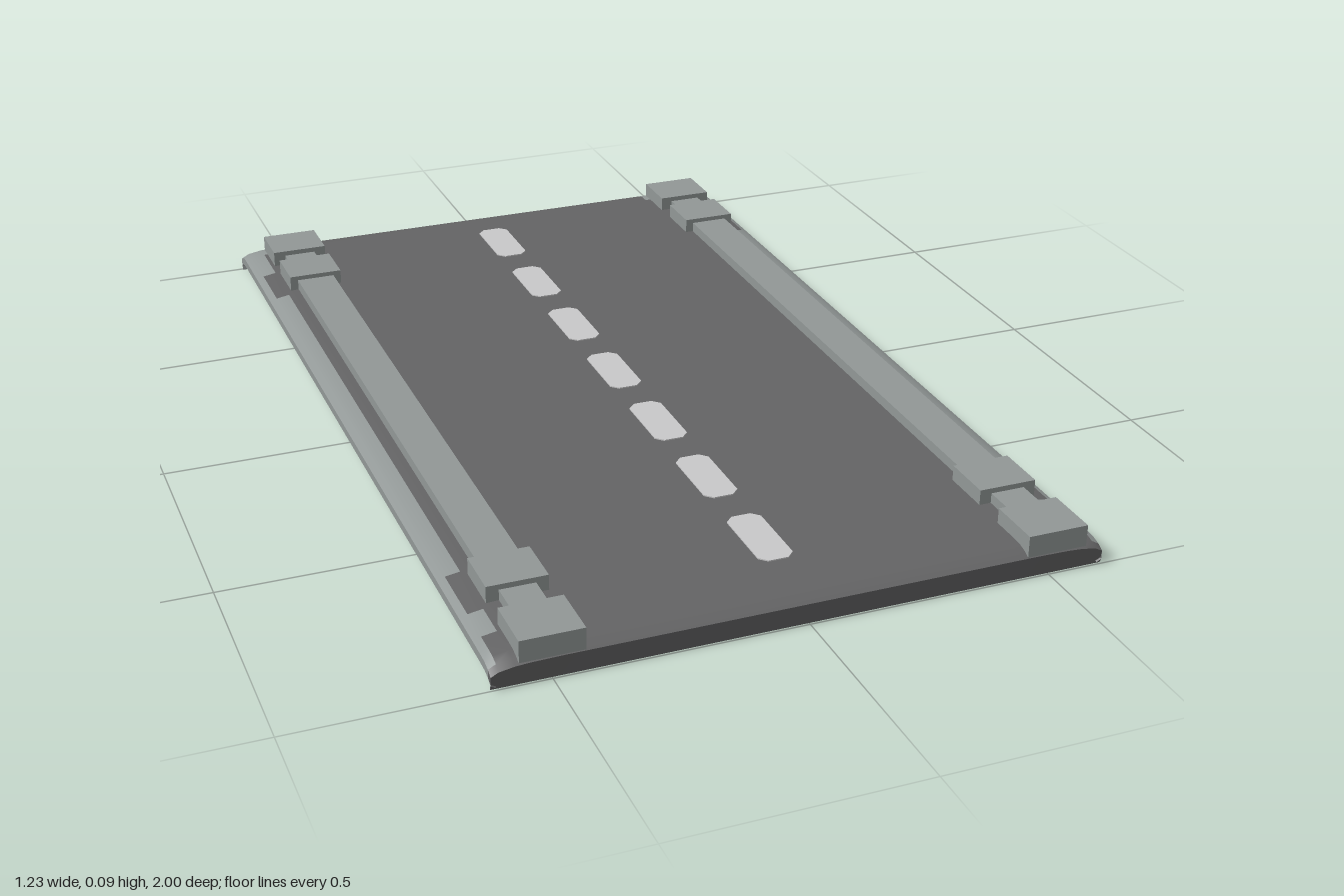
import * as THREE from 'three';
import { toCreasedNormals } from 'three/addons/utils/BufferGeometryUtils.js';

const material = (name, color) =>
  new THREE.MeshStandardMaterial({ name, color, side: THREE.DoubleSide });

export function createModel() {
  const asphalt = material('asphalt', 0x646465);
  const concrete = material('concrete', 0x929897);
  const paint = material('lanePaint', 0xc9c9ca);
  const root = new THREE.Group();
  root.name = 'roadSegment';

  const add = (name, geometry, mat, parent = root) => {
    const mesh = new THREE.Mesh(geometry, mat);
    mesh.name = name;
    parent.add(mesh);
    return mesh;
  };
  const box = (name, parent, x, y0, y1, w, z0, z1) => {
    const m = add(name, new THREE.BoxGeometry(w, y1 - y0, z1 - z0), concrete, parent);
    m.position.set(x, (y0 + y1) / 2, (z0 + z1) / 2);
  };

  // Half cross-section of the road sheet [x, y], mirrored to the full width
  const half = [[0.605, 0.018], [0.615, 0.024], [0.615, 0.042], [0.6, 0.05],
    [0.57, 0.055], [0.54, 0.057], [0.475, 0.058], [0.44, 0.058]];
  const section = [...half.map(([x, y]) => [-x, y]), ...half.slice().reverse()];

  // Stations along the road [z, drop]; the ends curl down into a skirt
  const halfStations = [[0.995, null], [1, 0.014], [0.985, 0.006], [0.965, 0.001],
    [0.94, 0], [0.9, 0], [0.82, 0], [0.68, 0]];
  const stations = [...halfStations.map(([z, d]) => [-z, d]), ...halfStations.slice().reverse()];
  const point = (i, j) => {
    const [x, y] = section[i];
    const [z, drop] = stations[j];
    return [x, drop === null ? 0 : y - drop, z];
  };

  // Shoulders are concrete, apart from dark patches beside the inner blocks
  const isConcrete = (x, z) => {
    const ax = Math.abs(x), az = Math.abs(z);
    if (z < -0.95) return ax > 0.44;
    if (z > 0.985) return false;
    if (ax > 0.6) return true;
    if (az > 0.68 && az < 0.82) return false;
    if (z > 0.9) return false;
    return x > 0 ? ax > 0.54 : ax > 0.57;
  };
  const faces = { road: [], shoulder: [] };
  for (let i = 0; i < section.length - 1; i++) {
    for (let j = 0; j < stations.length - 1; j++) {
      const a = point(i, j), b = point(i, j + 1), c = point(i + 1, j + 1), d = point(i + 1, j);
      const list = isConcrete((a[0] + c[0]) / 2, (a[2] + c[2]) / 2) ? faces.shoulder : faces.road;
      list.push(...a, ...b, ...d, ...b, ...c, ...d);
    }
  }
  const sheet = (name, list, mat) => {
    const g = new THREE.BufferGeometry();
    g.setAttribute('position', new THREE.Float32BufferAttribute(list, 3));
    add(name, toCreasedNormals(g, 0.6), mat);
  };
  sheet('roadSurface', faces.road, asphalt);
  sheet('shoulders', faces.shoulder, concrete);

  // Kerb rails with a pair of blocks at each end
  for (const [name, x] of [['rightKerb', -0.499], ['leftKerb', 0.516]]) {
    const kerb = new THREE.Group();
    kerb.name = name;
    root.add(kerb);
    box('rail', kerb, x, 0.05, 0.08, 0.086, -0.75, 0.75);
    for (const [z0, z1] of [[-0.9, -0.75], [0.75, 0.9]]) box('railNeck', kerb, x, 0.05, 0.079, 0.072, z0, z1);
    for (const [z0, z1] of [[-0.97, -0.86], [0.88, 0.998]]) box('endBlock', kerb, x, 0.045, 0.09, 0.126, z0, z1);
    for (const [z0, z1] of [[-0.81, -0.7], [0.695, 0.805]]) box('innerBlock', kerb, x, 0.05, 0.09, 0.122, z0, z1);
  }

  // Dashed centre line: thin plates with clipped corners, seen from both sides
  const w = 0.036, l = 0.089, c = 0.016;
  const outline = [[-w, -l + c], [-w + c, -l], [w - c, -l], [w, -l + c],
    [w, l - c], [w - c, l], [-w + c, l], [-w, l - c]];
  const dash = new THREE.ExtrudeGeometry(
    new THREE.Shape(outline.map(([x, y]) => new THREE.Vector2(x, y))),
    { depth: 0.005, bevelEnabled: false });
  dash.rotateX(-Math.PI / 2);
  for (let k = -3; k <= 3; k++) {
    add('laneDash', dash, paint).position.set(0, 0.0555, -0.015 + k * 0.261);
  }
  return root;
}
